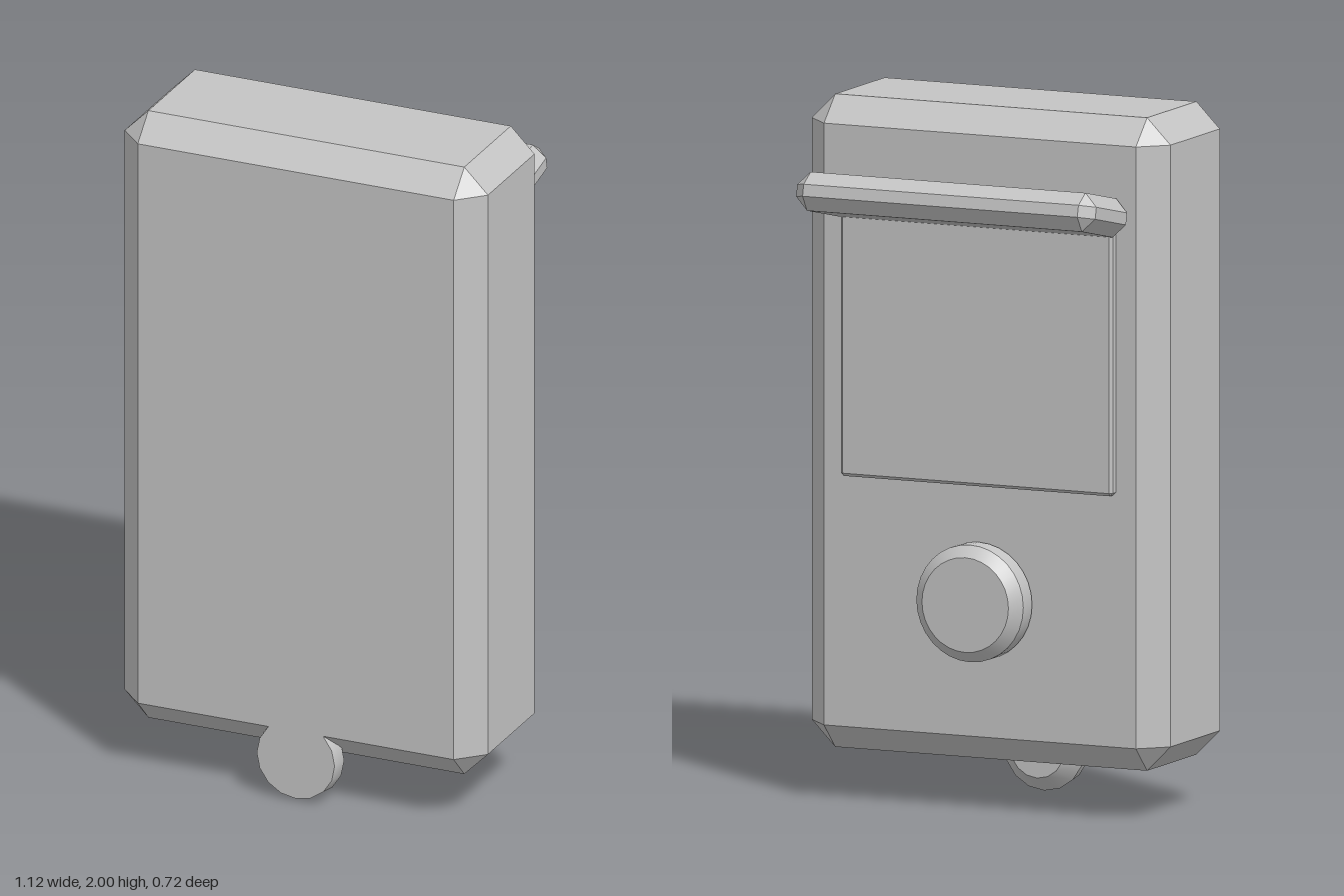
import * as THREE from 'three';
import { toCreasedNormals } from 'three/addons/utils/BufferGeometryUtils.js';
import { ConvexGeometry } from 'three/addons/geometries/ConvexGeometry.js';

// Box with every edge cut at 45 degrees and triangular corners
function chamferedBox(w, h, d, c) {
  const points = [];
  for (const sx of [-1, 1]) for (const sy of [-1, 1]) for (const sz of [-1, 1]) {
    const x = w / 2, y = h / 2, z = d / 2;
    points.push(
      new THREE.Vector3(sx * x, sy * (y - c), sz * (z - c)),
      new THREE.Vector3(sx * (x - c), sy * y, sz * (z - c)),
      new THREE.Vector3(sx * (x - c), sy * (y - c), sz * z)
    );
  }
  return new ConvexGeometry(points);
}

// Disc turned from a [radius, height] profile, its axis pointing to the back
function turnedDisc(profile, segments) {
  const points = profile.map(([r, y]) => new THREE.Vector2(r, y));
  const geometry = new THREE.LatheGeometry(points, segments);
  geometry.rotateX(-Math.PI / 2);
  return toCreasedNormals(geometry, Math.PI / 6);
}

export function createModel() {
  const model = new THREE.Group();
  model.name = 'handheldDevice';
  const grey = new THREE.MeshStandardMaterial({ color: 0xc4c4c4 });
  grey.name = 'light grey';

  const add = (name, geometry, x, y, z) => {
    const mesh = new THREE.Mesh(geometry, grey);
    mesh.name = name;
    mesh.position.set(x, y, z);
    model.add(mesh);
    return mesh;
  };

  // Main case
  add('body', chamferedBox(1.12, 1.86, 0.465, 0.073), 0, 1.07, 0.1275);

  // Screen plate on the back face
  add('screen', chamferedBox(0.85, 0.78, 0.06, 0.009), 0, 1.32, -0.103);

  // Tilted hood over the screen
  const hood = add('hood', chamferedBox(0.934, 0.11, 0.28, 0.038), 0, 1.746, -0.223);
  hood.rotation.x = 0.222;

  // Round button below the screen
  add('button', turnedDisc(
    [[0, 0], [0.135, 0], [0.167, 0.03], [0.167, 0.087], [0.135, 0.117], [0, 0.117]], 32
  ), 0, 0.602, -0.083);

  // Small knob at the bottom, flush with the front face
  add('bottomKnob', turnedDisc(
    [[0, 0], [0.12, 0], [0.127, 0.05], [0.085, 0.095], [0, 0.095]], 16
  ), 0, 0.127, 0.36);

  return model;
}
